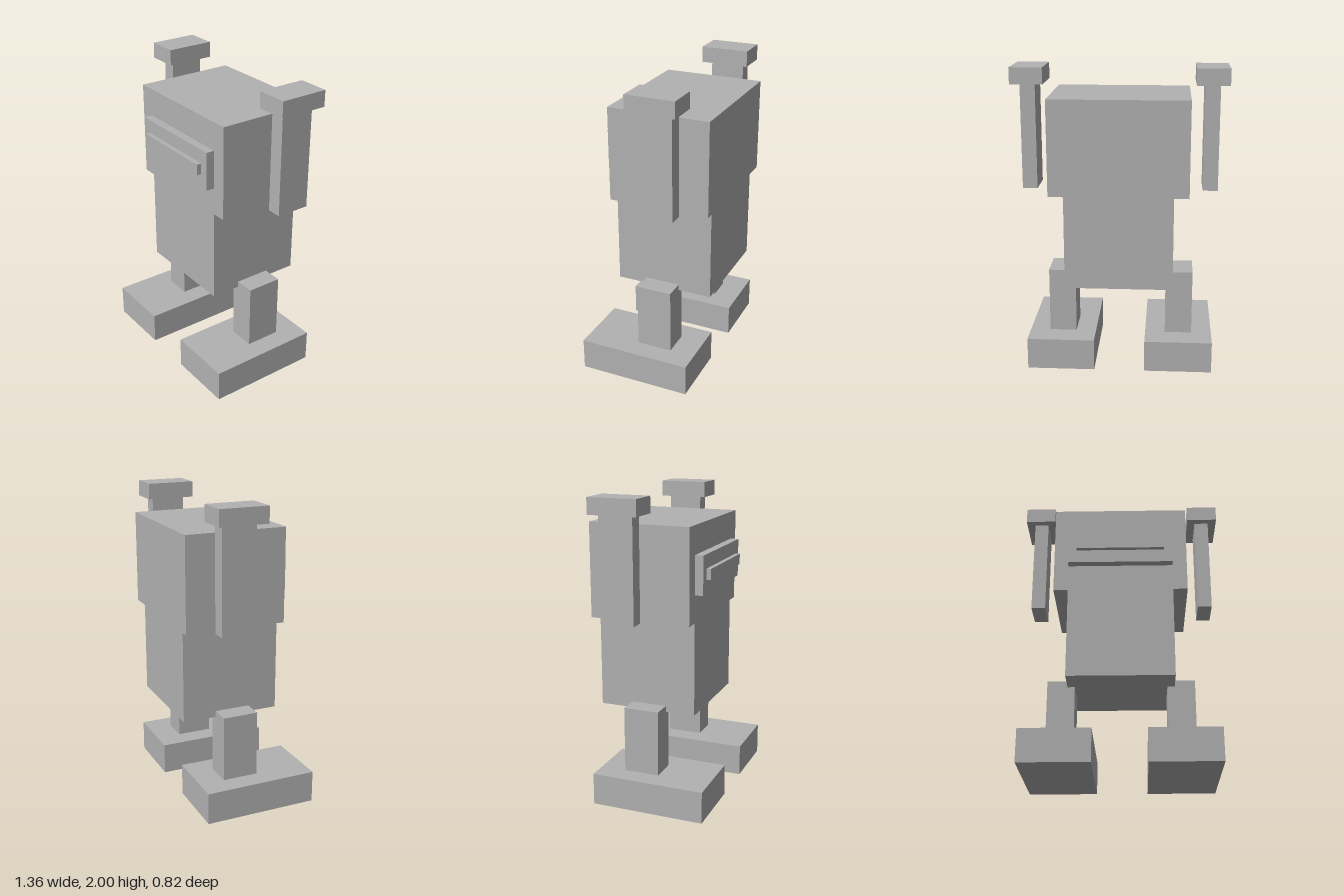
import * as THREE from 'three';

export function createModel() {
  const model = new THREE.Group();
  model.name = 'robot';
  const grey = new THREE.MeshStandardMaterial({ color: 0xb2b2b2 });
  grey.name = 'grey';

  // Box given by its [min, max] extent on each axis
  function block(name, [x0, x1], [y0, y1], [z0, z1]) {
    const mesh = new THREE.Mesh(new THREE.BoxGeometry(x1 - x0, y1 - y0, z1 - z0), grey);
    mesh.name = name;
    mesh.position.set((x0 + x1) / 2, (y0 + y1) / 2, (z0 + z1) / 2);
    model.add(mesh);
  }

  // Same block on both sides of the body
  function pair(name, [x0, x1], y, z) {
    block('left' + name, [x0, x1], y, z);
    block('right' + name, [-x1, -x0], y, z);
  }

  // Body
  block('head', [-0.442, 0.442], [1.212, 1.822], [-0.41, 0.256]);
  block('torso', [-0.347, 0.347], [0.602, 1.212], [-0.394, 0.256]);

  // Face plate and the bar on it
  block('facePlate', [-0.347, 0.347], [1.39, 1.64], [0.256, 0.31]);
  block('mouthBar', [-0.29, 0.29], [1.48, 1.55], [0.31, 0.34]);

  // Raised arms with flat hands
  pair('Arm', [0.527, 0.622], [1.227, 1.896], [-0.255, -0.033]);
  pair('Hand', [0.473, 0.679], [1.896, 2], [-0.299, 0.018]);

  // Legs and feet
  pair('Leg', [0.3, 0.479], [0.21, 0.642], [-0.174, 0.06]);
  pair('Foot', [0.167, 0.612], [0, 0.21], [-0.34, 0.408]);

  return model;
}
